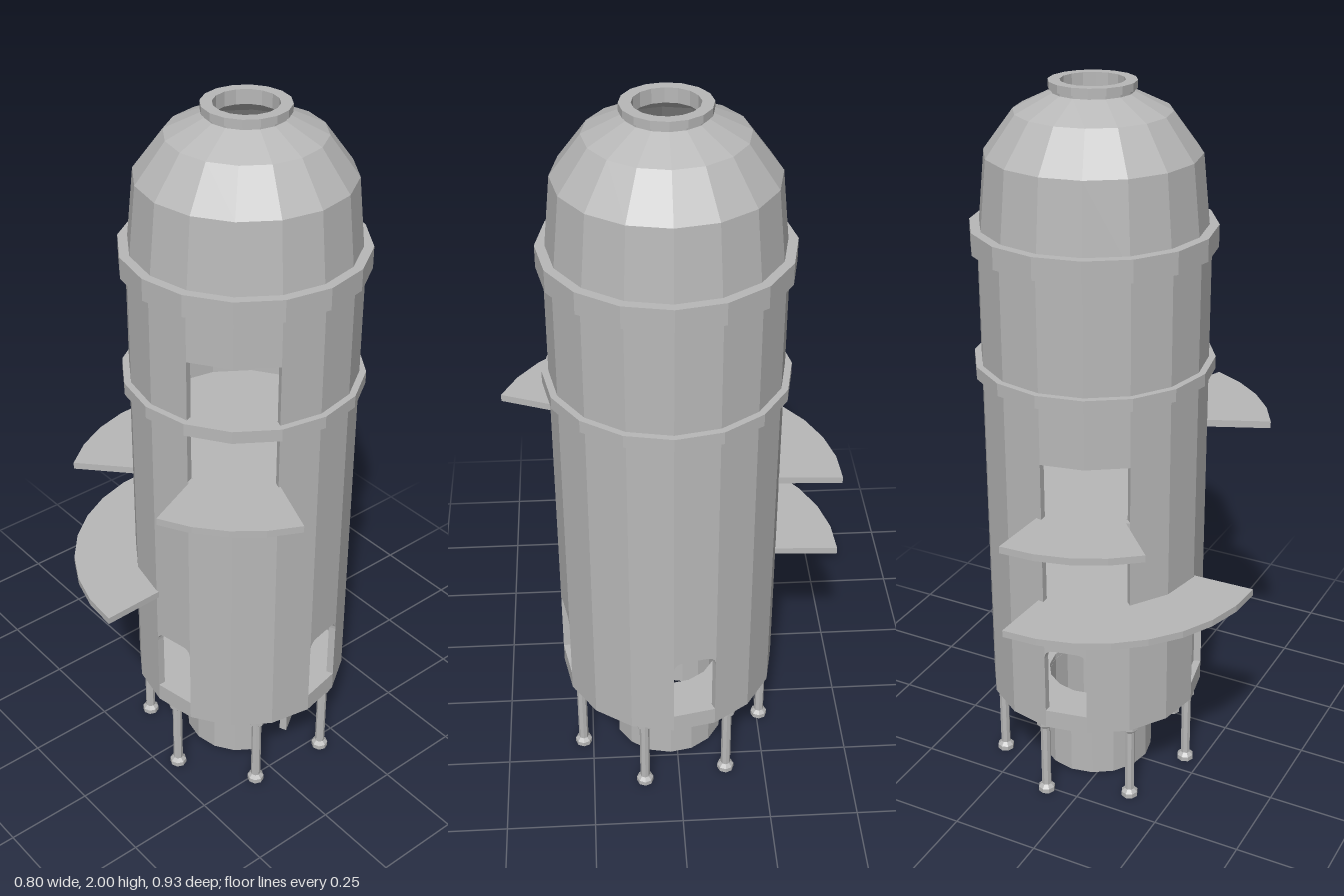
import * as THREE from 'three';

const SIDES = 16;
const STEP = (Math.PI * 2) / SIDES;
const rad = THREE.MathUtils.degToRad;

export function createModel() {
  const model = new THREE.Group();
  model.name = 'tower';
  const grey = new THREE.MeshStandardMaterial({ color: 0xb8b8b8 });
  grey.name = 'light grey';

  const tower = new THREE.Group();
  tower.name = 'towerParts';
  tower.position.set(0.075, 0, 0.02);
  model.add(tower);

  function add(parent, name, geometry) {
    const flat = geometry.index ? geometry.toNonIndexed() : geometry;
    flat.computeVertexNormals();
    const mesh = new THREE.Mesh(flat, grey);
    mesh.name = name;
    parent.add(mesh);
    return mesh;
  }

  // Faceted ring from a closed profile: outside upwards, then inside downwards
  function lathe(parent, name, profile, sides = SIDES) {
    const points = [...profile, profile[0]].map(([r, y]) => new THREE.Vector2(r, y));
    return add(parent, name, new THREE.LatheGeometry(points, sides));
  }
  const ring = (parent, name, rIn, rOut, y0, y1) =>
    lathe(parent, name, [[rIn, y0], [rOut, y0], [rOut, y1], [rIn, y1]]);

  // One mitred wall panel; cl and cr round the head of an opening below it
  function panel(parent, name, face, radius, thick, y0, y1, cl = 0, cr = 0) {
    const w = radius * Math.sin(STEP / 2);
    const apothem = radius * Math.cos(STEP / 2);
    const s = new THREE.Shape();
    s.moveTo(-w, y0 - cl);
    if (cl) s.quadraticCurveTo(-w, y0, -w + cl, y0);
    s.lineTo(w - cr, y0);
    if (cr) s.quadraticCurveTo(w, y0, w, y0 - cr);
    s.lineTo(w, y1);
    s.lineTo(-w, y1);
    s.closePath();
    const g = new THREE.ExtrudeGeometry(s, { depth: thick, bevelEnabled: false, curveSegments: 5 });
    g.translate(0, 0, apothem - thick);
    const p = g.attributes.position;
    for (let i = 0; i < p.count; i++) p.setX(i, (p.getX(i) * p.getZ(i)) / apothem);
    add(parent, name, g).rotation.y = Math.PI / 2 - (face + 0.5) * STEP;
  }

  // Faceted wall; openings[face] lists [bottom, top, left corner, right corner]
  function wall(name, radius, thick, y0, y1, openings) {
    const group = new THREE.Group();
    group.name = name;
    tower.add(group);
    for (let face = 0; face < SIDES; face++) {
      let y = y0, cl = 0, cr = 0;
      for (const [bottom, top, l, r] of openings[face] || []) {
        if (bottom > y) panel(group, name + 'Panel', face, radius, thick, y, bottom, cl, cr);
        y = top; cl = l; cr = r;
      }
      panel(group, name + 'Panel', face, radius, thick, y, y1, cl, cr);
    }
  }

  // Main wall with four low windows, one tall front opening and two back openings
  const window = [0.3, 0.5, 0.028, 0.028];
  const frontOpening = [1.08, 1.44, 0, 0];
  const backOpenings = [[0.655, 0.815, 0, 0], [0.907, 1.068, 0, 0]];
  wall('mainWall', 0.307, 0.02, 0.245, 1.61, {
    3: [window], 7: [window], 15: [window],
    5: [frontOpening], 6: [frontOpening],
    10: backOpenings, 11: [window, ...backOpenings],
  });

  // Entrance core with a rounded doorway
  wall('entranceCore', 0.163, 0.022, 0, 0.25, {
    3: [[0, 0.125, 0, 0.03]],
    4: [[0, 0.125, 0.03, 0]],
  });

  // Floors; the lowest has a stairwell
  ring(tower, 'lowestFloor', 0.141, 0.286, 0.245, 0.265);
  for (const top of [0.655, 0.907, 1.08]) {
    const floor = add(tower, 'floor', new THREE.CylinderGeometry(0.286, 0.286, 0.02, SIDES));
    floor.position.y = top - 0.01;
  }

  // Bands around the wall
  ring(tower, 'middleBand', 0.29, 0.325, 1.235, 1.27);
  ring(tower, 'upperBand', 0.285, 0.325, 1.575, 1.635);

  // Hollow dome and neck
  lathe(tower, 'dome', [
    [0.303, 1.6], [0.281, 1.82], [0.203, 1.925], [0.106, 1.972],
    [0.085, 1.965], [0.19, 1.905], [0.262, 1.81], [0.283, 1.6],
  ]);
  lathe(tower, 'neck', [
    [0.083, 1.962], [0.105, 1.962], [0.105, 1.98], [0.113, 1.98], [0.113, 2], [0.083, 2],
  ]);

  // Fan-shaped landings: start angle, end angle, top height
  for (const [a, b, top] of [[-133, -87, 0.907], [-181.5, -87, 0.655], [111.4, 156.6, 1.08]]) {
    const count = Math.round((b - a) / 11.25);
    const s = new THREE.Shape();
    const point = (r, i) => {
      const t = rad(a + ((b - a) * i) / count);
      return new THREE.Vector2(r * Math.cos(t), r * Math.sin(t));
    };
    const outline = [];
    for (let i = 0; i <= count; i++) outline.push(point(0.48, i));
    for (let i = count; i >= 0; i--) outline.push(point(0.276, i));
    s.setFromPoints(outline);
    const g = new THREE.ExtrudeGeometry(s, { depth: 0.02, bevelEnabled: false });
    g.rotateX(Math.PI / 2);
    add(tower, 'landing', g).position.y = top;
  }

  // Seven legs with a foot and a head
  for (let i = 0; i < 7; i++) {
    const t = rad(17) + (i * Math.PI * 2) / 7;
    const leg = lathe(tower, 'leg', [
      [0, 0], [0.024, 0], [0.024, 0.014], [0.014, 0.024],
      [0.014, 0.222], [0.024, 0.232], [0.024, 0.246], [0, 0.246],
    ], 8);
    leg.position.set(0.278 * Math.cos(t), 0, 0.278 * Math.sin(t));
  }

  return model;
}
